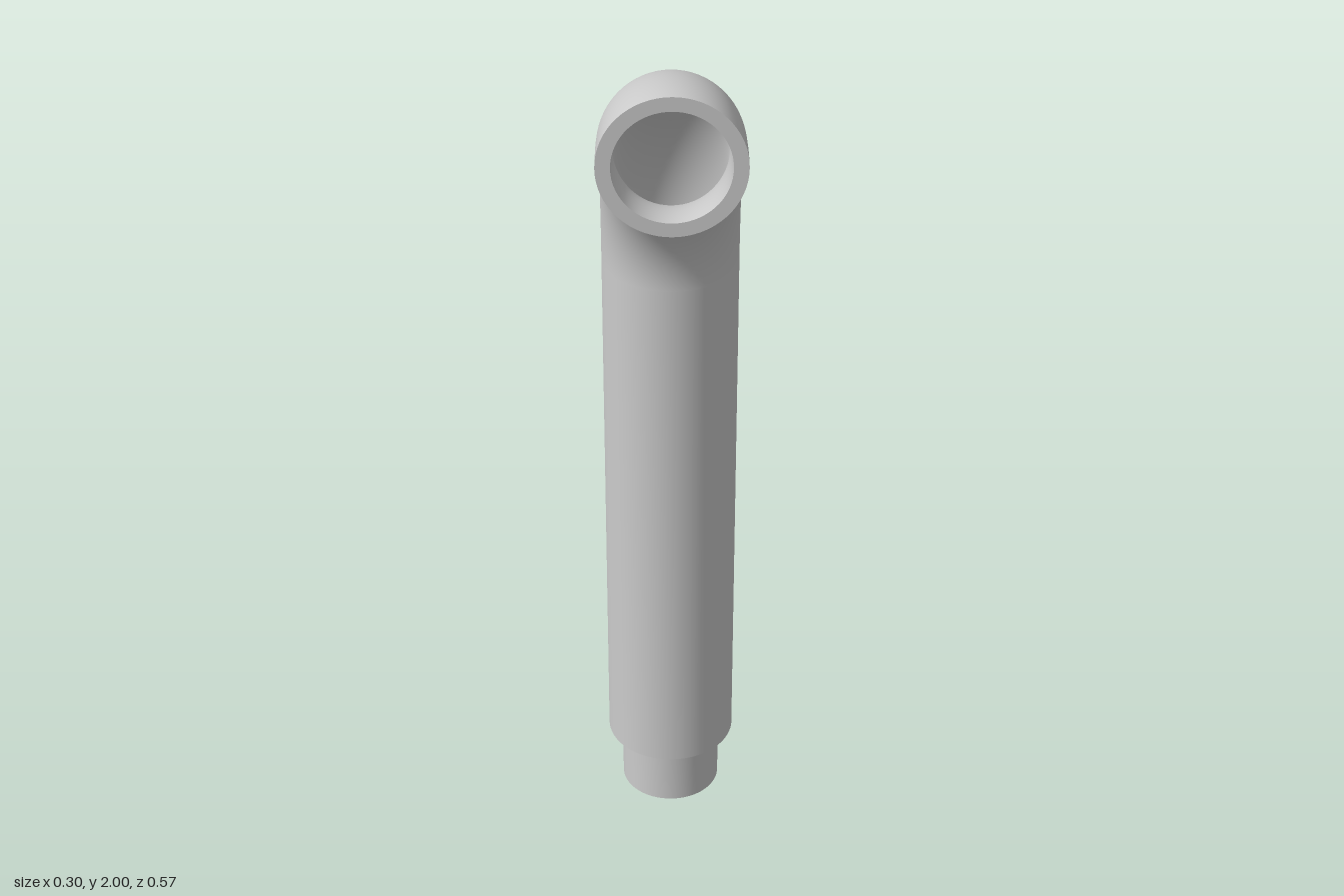
import * as THREE from 'three';
import { toCreasedNormals } from 'three/addons/utils/BufferGeometryUtils.js';

const R = 0.148;        // outer radius of the pipe
const BORE = 0.118;     // inner radius of the pipe
const BEND = 0.427;     // centreline radius of the elbow
const FRONT = 0.288;    // z of the open mouth
const BEND_Y = 1.427;   // height where the elbow begins
const SIDES = 64;

export function createModel() {
  const group = new THREE.Group();
  const material = new THREE.MeshStandardMaterial({ color: 0xcccccc, side: THREE.DoubleSide });

  const add = (name, geometry, x, y, z) => {
    const mesh = new THREE.Mesh(geometry, material);
    mesh.name = name;
    mesh.position.set(x, y, z);
    group.add(mesh);
    return mesh;
  };

  // Straight hollow pipe with a narrower spigot at the foot:
  // down the bore, around the foot, up the outside
  const profile = [
    [BORE, BEND_Y], [BORE, 0.18], [0.094, 0.152], [0.094, 0],
    [0.115, 0], [0.115, 0.152], [R, 0.152], [R, BEND_Y],
  ].map(([r, y]) => new THREE.Vector2(r, y));
  const pipe = toCreasedNormals(new THREE.LatheGeometry(profile, SIDES), 0.5);
  add('straightPipe', pipe, 0, 0, FRONT - BEND);

  // Quarter-turn elbow, outer and inner walls
  for (const [name, radius] of [['elbowOuterWall', R], ['elbowInnerWall', BORE]]) {
    const elbow = new THREE.TorusGeometry(BEND, radius, SIDES, 40, Math.PI / 2);
    elbow.rotateY(Math.PI / 2);
    add(name, elbow, 0, BEND_Y, FRONT);
  }

  // Flat rim closing the wall thickness at the mouth
  add('mouthRim', new THREE.RingGeometry(BORE, R, SIDES), 0, BEND_Y + BEND, FRONT);

  return group;
}
